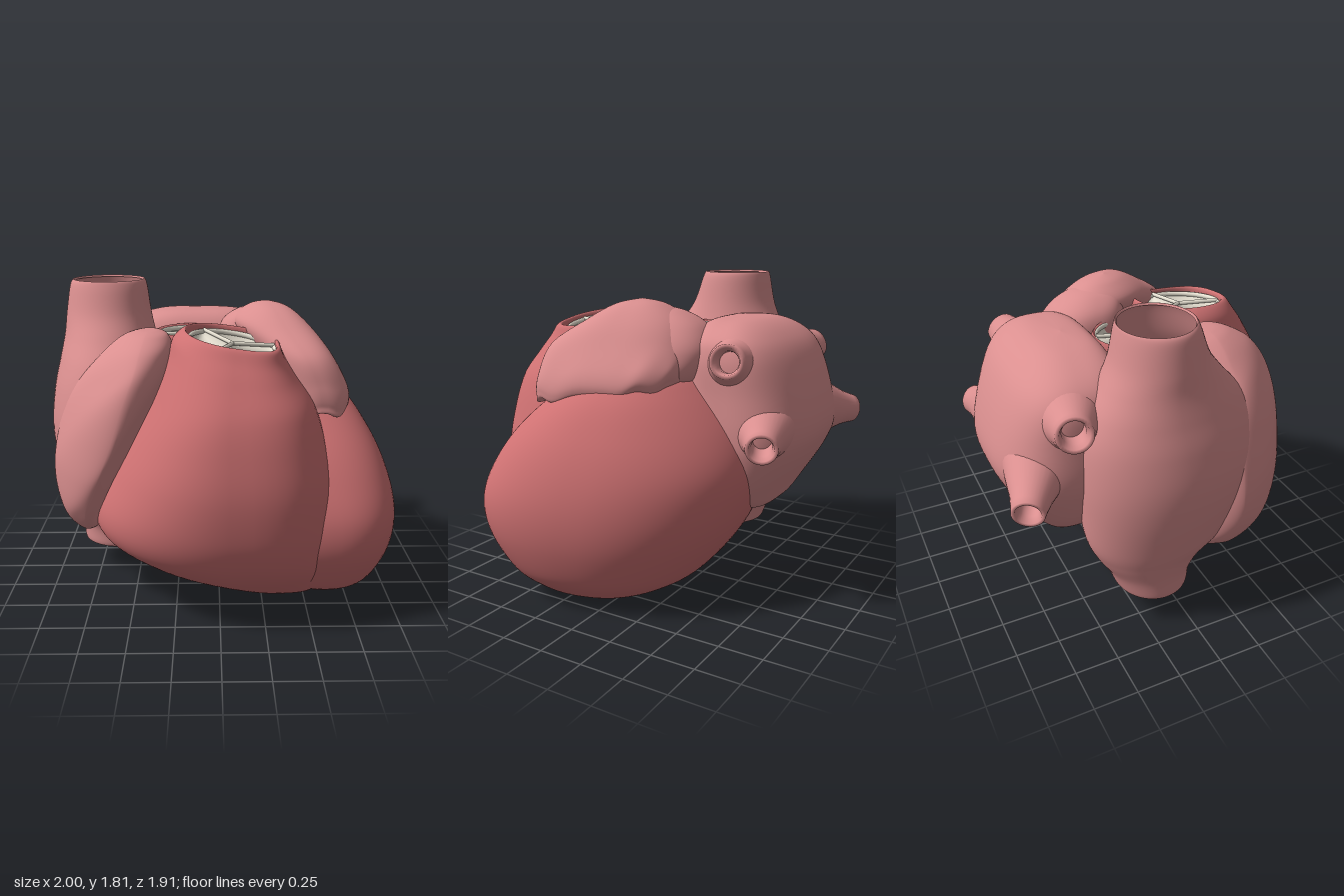
import * as THREE from 'three';

const paint = (color) => new THREE.MeshStandardMaterial({ color, side: THREE.DoubleSide });
const muscle = paint(0xce7172);
const atrial = paint(0xda8f8f);
const cream = paint(0xe8e2d3);

function mesh(name, geometry, material) {
  const m = new THREE.Mesh(geometry, material);
  m.name = name;
  return m;
}

// Indexed grid of points; wraps around in the second direction
function grid(rows, cols, point) {
  const pos = [], index = [];
  for (let i = 0; i <= rows; i++) for (let j = 0; j < cols; j++) pos.push(...point(i, j));
  for (let i = 0; i < rows; i++) for (let j = 0; j < cols; j++) {
    const a = i * cols + j, b = i * cols + (j + 1) % cols;
    index.push(a, a + cols, b, b, a + cols, b + cols);
  }
  const g = new THREE.BufferGeometry();
  g.setAttribute('position', new THREE.Float32BufferAttribute(pos, 3));
  g.setIndex(index);
  g.computeVertexNormals();
  return g;
}

const spline = (a, b, c, d, t) =>
  b + 0.5 * t * (c - a + t * (2 * a - 5 * b + 4 * c - d + t * (3 * (b - c) + d - a)));

// Smooth body through level sections: [y, xMin, xMid, xMax, zMin, zMid, zMax]
function loft(sections, { right = 2, left = 2, shear = 0, warp } = {}) {
  const steps = 8, cols = 80, last = sections.length - 1;
  const at = (i) => sections[Math.max(0, Math.min(last, i))];
  return grid(last * steps, cols, (i, j) => {
    const k = Math.min(last - 1, Math.floor(i / steps)), t = i / steps - k;
    const [y, x0, xm, x1, z0, zm, z1] =
      at(k).map((v, c) => spline(at(k - 1)[c], v, at(k + 1)[c], at(k + 2)[c], t));
    const a = (j / cols) * Math.PI * 2, c = Math.cos(a), s = Math.sin(a);
    const e = 2 / (c > 0 ? right : left);
    const dz = (s > 0 ? z1 - zm : z0 - zm) * Math.abs(s) ** e;
    const dx = (c > 0 ? x1 - xm : x0 - xm) * Math.abs(c) ** e;
    const p = [xm + dx + shear * dz, y, zm + dz];
    if (warp) p[1] += warp(...p, a);
    return p;
  });
}

// Valve of three cupped leaflets with raised edges and an outer ring
function valve(name, rx, rz, depth, turn) {
  const g = new THREE.Group();
  g.name = name;
  const rows = 16, cols = 72;
  g.add(mesh('leaflets', grid(rows, cols, (i, j) => {
    const t = 1 - i / rows, a = (j / cols) * Math.PI * 2;
    const sag = Math.abs(Math.sin(1.5 * a)) ** 0.6 * Math.sin(Math.PI * t) ** 0.6;
    return [rx * t * Math.cos(a + turn), -depth * sag, rz * t * Math.sin(a + turn)];
  }), cream));
  for (let k = 0; k < 3; k++) {
    const a = turn + (k * Math.PI * 2) / 3;
    const edge = new THREE.LineCurve3(new THREE.Vector3(),
      new THREE.Vector3(rx * Math.cos(a), 0.01, rz * Math.sin(a)));
    g.add(mesh('leafletEdge', new THREE.TubeGeometry(edge, 4, 0.012, 8), cream));
  }
  const ring = mesh('valveRing', new THREE.TorusGeometry(1, 0.05, 10, 64), cream);
  ring.rotation.x = Math.PI / 2;
  ring.scale.set(rx, rz, 0.3);
  g.add(ring);
  return g;
}

// Short vein with a broad flared root and an open, rolled lip
function vein(name, from, to, r) {
  const a = new THREE.Vector3(...from), b = new THREE.Vector3(...to);
  const L = a.distanceTo(b);
  const profile = [[2.6, 0], [2.35, L * 0.25], [1.85, L * 0.5], [1.3, L * 0.77], [1.1, L * 0.92],
    [1.02, L], [0.8, L], [0.65, L - 0.04], [0.6, L * 0.6]]
    .map(([k, y]) => new THREE.Vector2(k * r, y));
  const m = mesh(name, new THREE.LatheGeometry(profile, 32), atrial);
  m.position.copy(a);
  m.quaternion.setFromUnitVectors(new THREE.Vector3(0, 1, 0), b.sub(a).normalize());
  return m;
}

export function createModel() {
  const heart = new THREE.Group();
  heart.name = 'heart';

  heart.add(mesh('leftVentricle', loft([
    [0, 0.55, 0.55, 0.55, 0.1, 0.1, 0.1],
    [0.03, 0.35, 0.54, 0.7, -0.1, 0.12, 0.36],
    [0.1, 0.1, 0.5, 0.8, -0.28, 0.1, 0.52],
    [0.2, -0.2, 0.47, 0.88, -0.42, 0.1, 0.64],
    [0.4, -0.4, 0.45, 0.94, -0.57, 0.07, 0.76],
    [0.6, -0.46, 0.44, 0.95, -0.65, 0.04, 0.785],
    [0.8, -0.46, 0.4, 0.91, -0.67, 0, 0.72],
    [1, -0.42, 0.33, 0.83, -0.6, -0.02, 0.6],
    [1.2, -0.35, 0.25, 0.7, -0.45, -0.04, 0.4],
    [1.33, -0.2, 0.2, 0.52, -0.3, -0.05, 0.2],
    [1.42, 0.15, 0.15, 0.15, -0.05, -0.05, -0.05],
  ], { right: 2.2, shear: 0.27 }), muscle));

  // The right ventricle narrows to a slanted open outlet
  const outletSlant = (x, y, z) =>
    THREE.MathUtils.smoothstep(y, 1.2, 1.5) * (-0.15 * (x - 0.07) - 0.06 * (z - 0.36));
  heart.add(mesh('rightVentricle', loft([
    [0.035, 0.42, 0.42, 0.42, 0.2, 0.2, 0.2],
    [0.05, 0.2, 0.4, 0.58, 0, 0.2, 0.42],
    [0.1, -0.02, 0.3, 0.62, -0.12, 0.15, 0.56],
    [0.22, -0.38, 0.15, 0.65, -0.15, 0.12, 0.72],
    [0.32, -0.58, 0.08, 0.66, -0.12, 0.14, 0.82],
    [0.43, -0.72, 0.05, 0.66, -0.1, 0.15, 0.885],
    [0.58, -0.735, 0.04, 0.66, -0.1, 0.16, 0.93],
    [0.8, -0.63, 0.04, 0.64, -0.1, 0.18, 0.95],
    [1, -0.52, 0.04, 0.59, -0.05, 0.2, 0.93],
    [1.2, -0.4, 0.04, 0.52, 0.02, 0.25, 0.88],
    [1.4, -0.29, 0.06, 0.41, 0.11, 0.32, 0.78],
    [1.5, -0.25, 0.07, 0.35, 0.12, 0.35, 0.71],
    [1.555, -0.2, 0.07, 0.325, 0.13, 0.37, 0.67],
    [1.55, -0.18, 0.07, 0.305, 0.15, 0.37, 0.64],
    [1.46, -0.18, 0.07, 0.31, 0.15, 0.37, 0.64],
  ], { right: 3.2, left: 2.1, warp: outletSlant }), muscle));

  // Right atrium runs straight through into the upper and lower great veins
  heart.add(mesh('rightAtriumAndGreatVeins', loft([
    [0.17, -0.85, -0.63, -0.42, -0.33, -0.13, 0.08],
    [0.19, -0.86, -0.63, -0.41, -0.345, -0.13, 0.09],
    [0.3, -0.87, -0.63, -0.37, -0.39, -0.14, 0.11],
    [0.42, -0.895, -0.63, -0.3, -0.46, -0.14, 0.2],
    [0.55, -0.935, -0.63, -0.24, -0.51, -0.1, 0.34],
    [0.8, -0.985, -0.64, -0.22, -0.54, -0.08, 0.46],
    [1, -1, -0.64, -0.24, -0.55, -0.08, 0.48],
    [1.2, -0.98, -0.63, -0.28, -0.54, -0.1, 0.44],
    [1.36, -0.945, -0.64, -0.33, -0.49, -0.12, 0.36],
    [1.5, -0.915, -0.65, -0.375, -0.42, -0.13, 0.24],
    [1.62, -0.9, -0.65, -0.4, -0.37, -0.13, 0.15],
    [1.77, -0.875, -0.65, -0.42, -0.34, -0.13, 0.09],
    [1.81, -0.855, -0.65, -0.435, -0.33, -0.13, 0.07],
    [1.8, -0.845, -0.65, -0.445, -0.32, -0.13, 0.06],
  ]), atrial));

  const ripple = (x, y, z, a) => 0.012 * Math.sin(5 * a + 9 * y)
    * THREE.MathUtils.smoothstep(y, 0.42, 0.6) * (1 - THREE.MathUtils.smoothstep(y, 1.3, 1.5));
  heart.add(mesh('rightAuricle', loft([
    [0.4, -0.76, -0.76, -0.76, 0.25, 0.25, 0.25],
    [0.45, -0.86, -0.76, -0.68, 0.08, 0.25, 0.42],
    [0.6, -0.93, -0.74, -0.64, 0.06, 0.28, 0.56],
    [0.8, -0.95, -0.66, -0.56, 0.06, 0.28, 0.65],
    [1, -0.92, -0.58, -0.45, 0.06, 0.28, 0.685],
    [1.2, -0.84, -0.51, -0.34, 0.07, 0.3, 0.685],
    [1.36, -0.73, -0.45, -0.275, 0.08, 0.32, 0.65],
    [1.48, -0.62, -0.42, -0.255, 0.1, 0.32, 0.57],
    [1.55, -0.53, -0.4, -0.28, 0.12, 0.31, 0.46],
    [1.575, -0.46, -0.39, -0.33, 0.2, 0.3, 0.38],
    [1.58, -0.39, -0.39, -0.39, 0.3, 0.3, 0.3],
  ], { left: 1.55, warp: ripple }), atrial));

  heart.add(mesh('leftAtrium', loft([
    [0.47, -0.17, -0.17, -0.17, -0.55, -0.55, -0.55],
    [0.52, -0.42, -0.15, 0.12, -0.67, -0.52, -0.36],
    [0.65, -0.57, -0.15, 0.26, -0.76, -0.5, -0.28],
    [0.85, -0.66, -0.16, 0.33, -0.88, -0.5, -0.23],
    [1, -0.69, -0.18, 0.35, -0.92, -0.5, -0.2],
    [1.2, -0.68, -0.18, 0.35, -0.88, -0.5, -0.2],
    [1.4, -0.66, -0.18, 0.35, -0.8, -0.5, -0.21],
    [1.51, -0.57, -0.18, 0.3, -0.71, -0.48, -0.24],
    [1.58, -0.38, -0.17, 0.14, -0.59, -0.46, -0.31],
    [1.6, -0.15, -0.15, -0.15, -0.44, -0.44, -0.44],
  ], { right: 3, left: 2.8 }), atrial));

  heart.add(vein('upperLeftVein', [0.05, 1.33, -0.51], [0.42, 1.41, -0.6], 0.09));
  heart.add(vein('lowerLeftVein', [0.05, 1.04, -0.66], [0.42, 0.97, -0.81], 0.085));
  heart.add(vein('upperRightVein', [-0.38, 1.29, -0.51], [-0.78, 1.36, -0.62], 0.095));
  heart.add(vein('lowerRightVein', [-0.34, 1.05, -0.65], [-0.78, 0.97, -0.88], 0.085));

  // Flap draped over the top of the left ventricle, with a wavy hem
  const hem = (x, y, z, a) =>
    (1 - THREE.MathUtils.smoothstep(y, 1.15, 1.5)) * (0.015 * Math.sin(9 * a) - 0.13 * (z - 0.3));
  heart.add(mesh('leftAuricle', loft([
    [1.24, 0.42, 0.45, 0.5, 0, 0.1, 0.2],
    [1.16, 0.25, 0.45, 0.65, -0.26, 0.04, 0.46],
    [1.2, 0.19, 0.44, 0.685, -0.31, 0, 0.49],
    [1.3, 0.18, 0.42, 0.665, -0.33, 0, 0.49],
    [1.45, 0.15, 0.36, 0.58, -0.32, 0, 0.45],
    [1.58, 0.09, 0.3, 0.49, -0.26, 0, 0.28],
    [1.67, 0.18, 0.28, 0.39, -0.13, 0, 0.13],
    [1.7, 0.28, 0.28, 0.28, 0, 0, 0],
  ], { right: 2.7, shear: 0.23, warp: hem }), atrial));

  // Broad bridge from the flap back into the left atrium
  heart.add(mesh('leftAuricleNeck', loft([
    [1.2, 0.25, 0.25, 0.25, -0.2, -0.2, -0.2],
    [1.27, 0.05, 0.25, 0.46, -0.36, -0.15, 0.03],
    [1.42, 0, 0.24, 0.46, -0.42, -0.15, 0.08],
    [1.55, 0.02, 0.22, 0.4, -0.36, -0.15, 0.07],
    [1.63, 0.11, 0.22, 0.33, -0.23, -0.11, 0.04],
    [1.66, 0.22, 0.22, 0.22, -0.09, -0.09, -0.09],
  ], { right: 2.3, left: 2.3 }), atrial));

  // Outlet of the left ventricle
  const rootProfile = [[1.05, 1.1], [1.08, 1.4], [1.05, 1.51], [1, 1.525], [0.95, 1.51], [0.95, 1.3]];
  const root = mesh('aorticRoot',
    new THREE.LatheGeometry(rootProfile.map((p) => new THREE.Vector2(...p)), 48), muscle);
  root.scale.set(0.2, 1, 0.22);
  root.position.set(-0.16, 0, -0.02);
  heart.add(root);

  const aortic = valve('aorticValve', 0.19, 0.21, 0.12, 0.75);
  aortic.position.set(-0.16, 1.5, -0.02);
  const pulmonary = valve('pulmonaryValve', 0.235, 0.24, 0.12, -0.2);
  pulmonary.position.set(0.07, 1.52, 0.39);
  pulmonary.rotation.set(0.06, 0, -0.15);
  const inlet = valve('rightInletValve', 0.17, 0.17, 0.04, 0.5);
  inlet.position.set(-0.54, 0.74, -0.02);
  inlet.quaternion.setFromUnitVectors(new THREE.Vector3(0, 1, 0),
    new THREE.Vector3(-0.7, 0.4, -0.6).normalize());
  heart.add(aortic, pulmonary, inlet);
  return heart;
}
